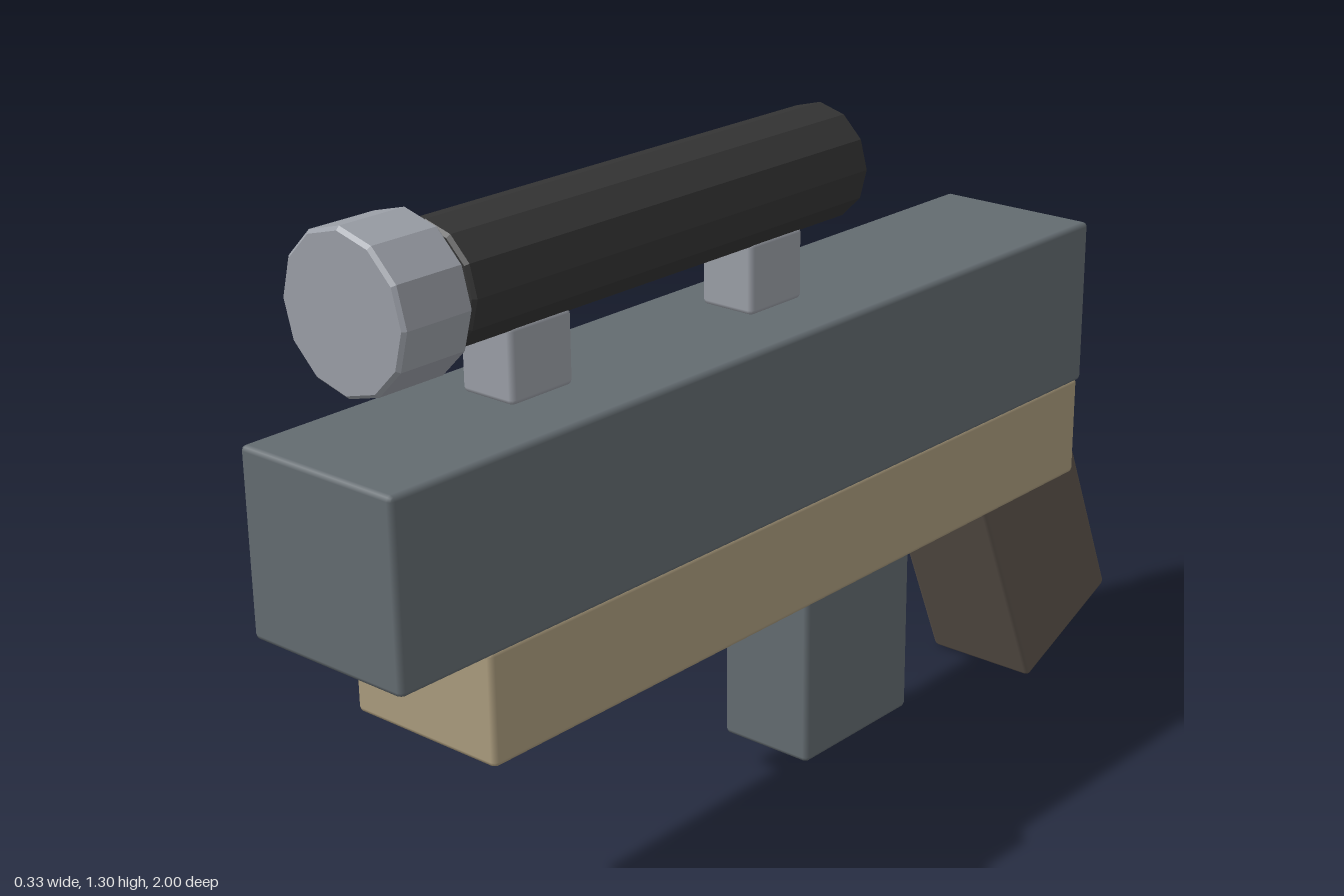
import * as THREE from 'three';
import { RoundedBoxGeometry } from 'three/addons/geometries/RoundedBoxGeometry.js';

function material(name, color) {
  const m = new THREE.MeshStandardMaterial({ color });
  m.name = name;
  return m;
}

// Box with small softened edges, given by its ranges on y and z
function box(name, mat, width, [y0, y1], [z0, z1]) {
  const mesh = new THREE.Mesh(new RoundedBoxGeometry(width, y1 - y0, z1 - z0, 1, 0.009), mat);
  mesh.position.set(0, (y0 + y1) / 2, (z0 + z1) / 2);
  mesh.name = name;
  return mesh;
}

// Faceted 12-sided cylinder along z with bevelled rims
function tube(name, mat, radius, y, [z0, z1]) {
  const b = 0.006, h = (z1 - z0) / 2;
  const profile = [[0, -h], [radius - b, -h], [radius, -h + b], [radius, h - b], [radius - b, h], [0, h]]
    .map(([r, t]) => new THREE.Vector2(r, t));
  const geometry = new THREE.LatheGeometry(profile, 12).toNonIndexed();
  geometry.rotateX(Math.PI / 2);
  geometry.computeVertexNormals(); // one normal per facet
  const mesh = new THREE.Mesh(geometry, mat);
  mesh.position.set(0, y, (z0 + z1) / 2);
  mesh.name = name;
  return mesh;
}

export function createModel() {
  const steel = material('slate grey', 0x636b70);
  const tan = material('tan', 0xaa9b7d);
  const brown = material('dark brown', 0x5d544c);
  const black = material('charcoal', 0x343434);
  const silver = material('light grey', 0x9a9ea6);

  const model = new THREE.Group();
  model.name = 'toyBlaster';

  // Body
  model.add(box('upperBody', steel, 0.326, [0.635, 0.953], [-0.797, 1]));
  model.add(box('lowerBody', tan, 0.31, [0.44, 0.637], [-0.797, 0.81]));
  model.add(box('magazine', steel, 0.194, [0.085, 0.47], [-0.335, -0.03]));

  // Grip, leaning backwards towards its foot
  const grip = box('grip', brown, 0.234, [-0.275, 0.275], [-0.149, 0.149]);
  grip.position.set(0, 0.315, -0.756);
  grip.rotation.x = THREE.MathUtils.degToRad(23);
  model.add(grip);

  // Sight on two mounts
  for (const z of [0.577, 0.007]) {
    model.add(box('sightMount', silver, 0.11, [0.962, 1.09], [z - 0.068, z + 0.068]));
  }
  model.add(tube('sightTube', black, 0.103, 1.173, [-0.182, 0.762]));
  model.add(tube('sightLens', silver, 0.131, 1.172, [0.79, 0.928]));

  return model;
}
